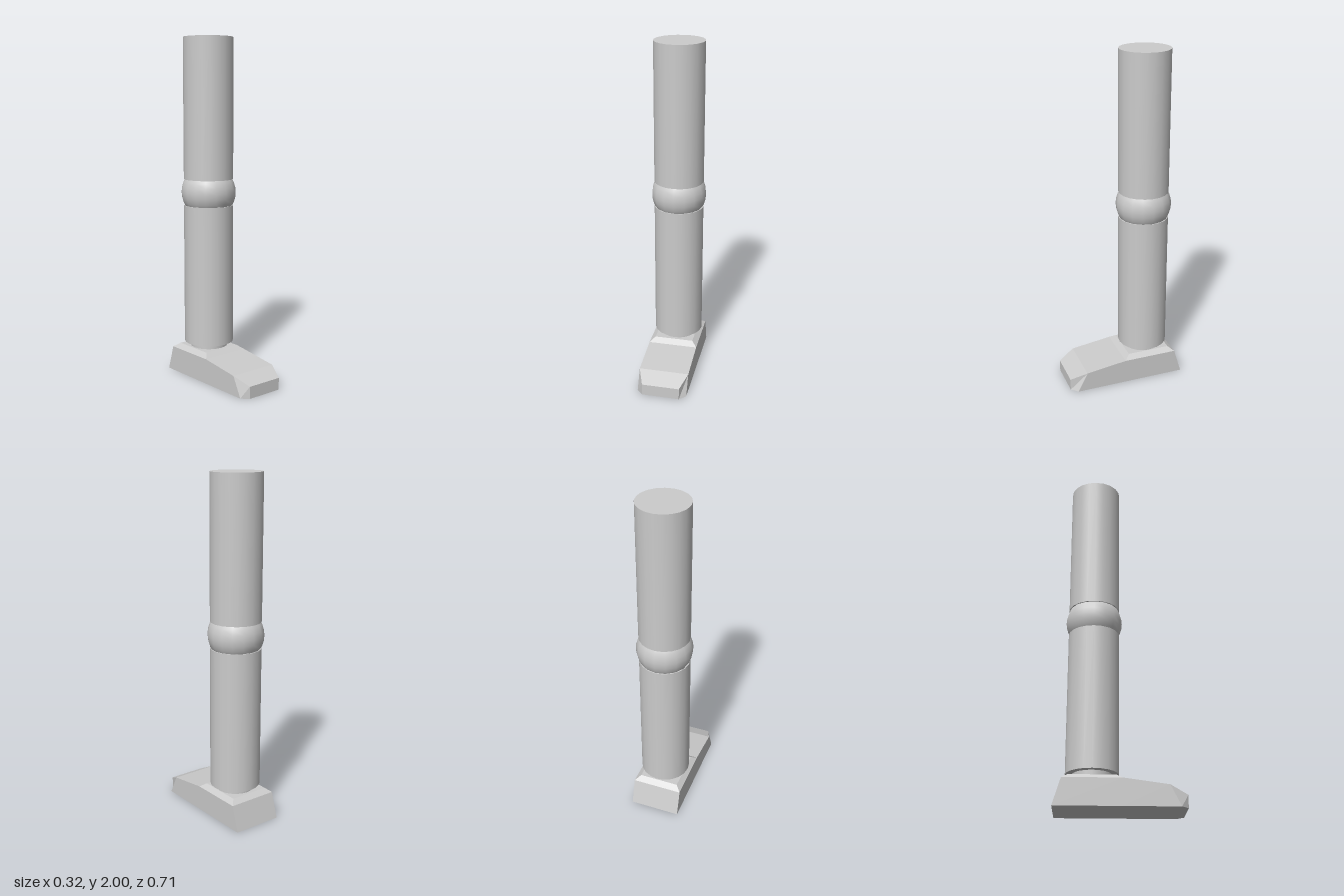
import * as THREE from 'three';

const material = new THREE.MeshStandardMaterial({ color: 0xcccccc });
const flatMaterial = new THREE.MeshStandardMaterial({ color: 0xcccccc, flatShading: true });
const LEG_Z = -0.148;

function addPart(group, name, geometry, y, mat = material) {
  const mesh = new THREE.Mesh(geometry, mat);
  mesh.name = name;
  mesh.position.set(0, y, LEG_Z);
  group.add(mesh);
}

// Upright cylinder between two heights
function addCylinder(group, name, radius, y0, y1) {
  addPart(group, name, new THREE.CylinderGeometry(radius, radius, y1 - y0, 20), (y0 + y1) / 2);
}

// Half of a foot section (sole, shoulder, top edge as [x, y, z]), mirrored into a closed ring
function footRing(sole, shoulder, top = shoulder) {
  const half = [sole, shoulder, top].map((p) => new THREE.Vector3(...p));
  const mirrored = half.map((p) => new THREE.Vector3(-p.x, p.y, p.z)).reverse();
  return [...half, ...mirrored];
}

// Skin the rings from front to back, with both ends capped
function loft(rings) {
  const points = [];
  const tri = (a, b, c) => {
    if (new THREE.Triangle(a, b, c).getArea() > 1e-7) points.push(a, b, c);
  };
  const n = rings[0].length;
  for (let r = 0; r < rings.length - 1; r++) {
    for (let i = 0; i < n; i++) {
      const j = (i + 1) % n;
      const front = rings[r], back = rings[r + 1];
      tri(front[i], back[i], back[j]);
      tri(front[i], back[j], front[j]);
    }
  }
  const first = rings[0], last = rings[rings.length - 1];
  for (let i = 1; i < n - 1; i++) {
    tri(first[0], first[i], first[i + 1]);
    tri(last[0], last[i + 1], last[i]);
  }
  const geometry = new THREE.BufferGeometry().setFromPoints(points);
  geometry.computeVertexNormals();
  return geometry;
}

export function createModel() {
  const leg = new THREE.Group();
  leg.name = 'leg';

  // Thigh, knee ball, shin and ankle
  addCylinder(leg, 'thigh', 0.146, 1.18, 2);
  addPart(leg, 'knee', new THREE.SphereGeometry(0.161, 16, 16), 1.102);
  addCylinder(leg, 'shin', 0.146, 0.2, 1.025);
  addCylinder(leg, 'ankle', 0.11, 0.16, 0.21);

  // Foot: chamfered toe, sloping instep, bevelled ankle platform, slanted heel
  const w = 0.148;
  const foot = new THREE.Mesh(loft([
    footRing([0.111, 0, 0.353], [0.111, 0.07, 0.353]),
    footRing([w, 0, 0.315], [w, 0.115, 0.257]),
    footRing([w, 0, 0.013], [w, 0.148, 0.013]),
    footRing([w, 0, 0.013], [w, 0.148, 0.013], [0.117, 0.172, -0.02]),
    footRing([w, 0, -0.353], [w, 0.148, -0.308], [0.117, 0.172, -0.275]),
    footRing([w, 0, -0.353], [w, 0.148, -0.308]),
  ]), flatMaterial);
  foot.name = 'foot';
  foot.position.x = -0.004;
  leg.add(foot);

  return leg;
}
